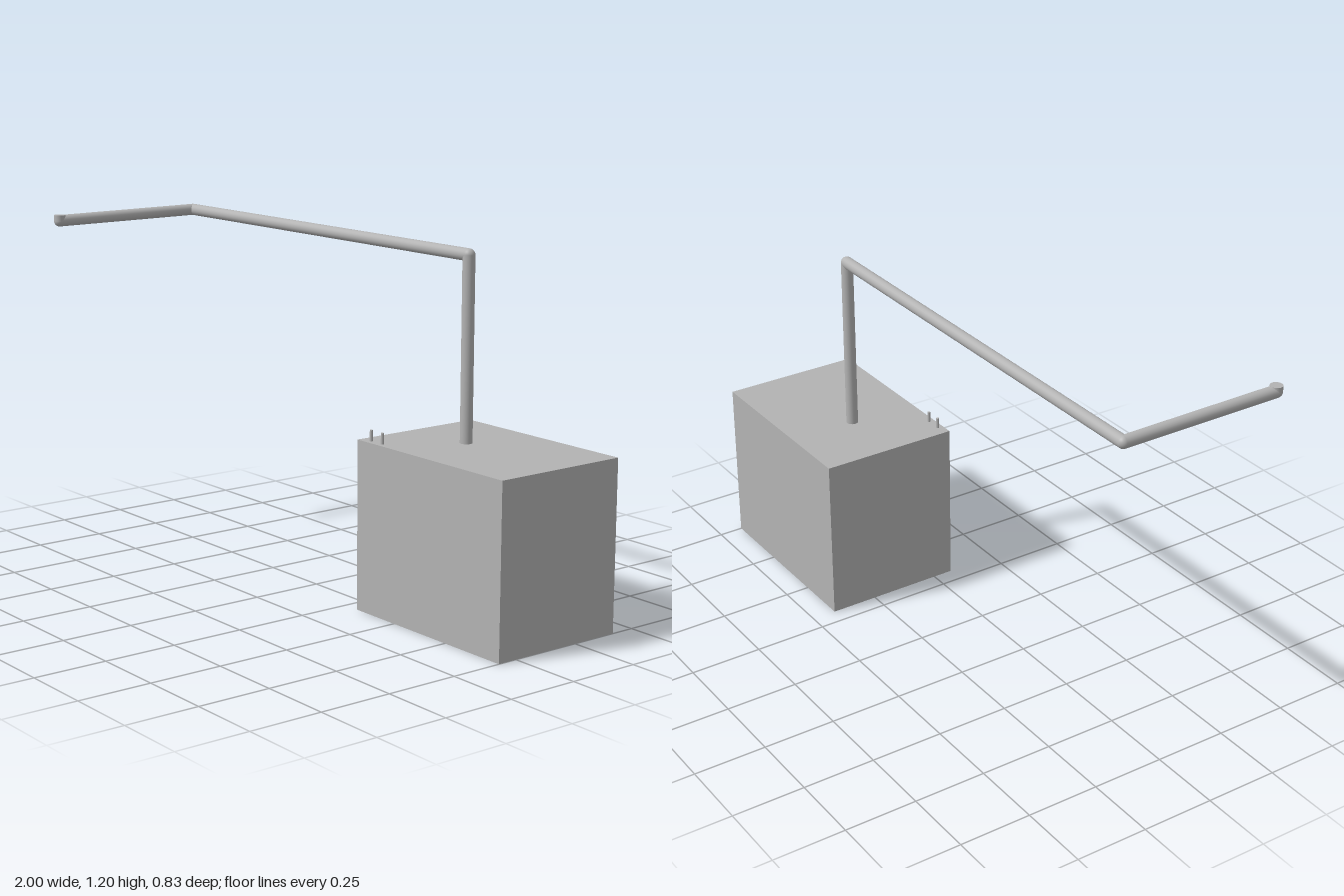
import * as THREE from 'three';

export function createModel() {
  const model = new THREE.Group();
  const grey = new THREE.MeshStandardMaterial({ color: 0xb3b3b3 });
  grey.name = 'plain grey';
  const radius = 0.0205;

  const add = (name, geometry, position) => {
    const mesh = new THREE.Mesh(geometry, grey);
    mesh.name = name;
    mesh.position.copy(position);
    model.add(mesh);
    return mesh;
  };

  // Round rod between two points
  const rod = (name, a, b, r, sides = 24) => {
    const along = b.clone().sub(a);
    const mesh = add(name, new THREE.CylinderGeometry(r, r, along.length(), sides), a.clone().add(b).multiplyScalar(0.5));
    mesh.quaternion.setFromUnitVectors(new THREE.Vector3(0, 1, 0), along.normalize());
  };

  // Tank block
  add('tank', new THREE.BoxGeometry(0.69, 0.573, 0.486), new THREE.Vector3(0.655, 0.2865, -0.173));

  // Pipe run: riser, long arm, forward arm and short upturned outlet
  const y = 1.18;
  const points = [
    [0.56, 0.56, -0.175],
    [0.56, y, -0.175],
    [-0.9795, y, -0.175],
    [-0.9795, y, 0.396],
    [-0.9795, y + radius, 0.396],
  ].map((p) => new THREE.Vector3(...p));
  const names = ['riserPipe', 'longPipe', 'forwardPipe', 'outlet'];
  names.forEach((name, i) => rod(name, points[i], points[i + 1], radius));

  // Rounded elbows at the bends
  points.slice(1, 4).forEach((p) => add('elbow', new THREE.SphereGeometry(radius, 24, 16), p));

  // Two small pins on the tank top
  for (const x of [0.355, 0.411]) {
    rod('pin', new THREE.Vector3(x, 0.565, 0.05), new THREE.Vector3(x, 0.61, 0.05), 0.005, 12);
  }
  return model;
}
